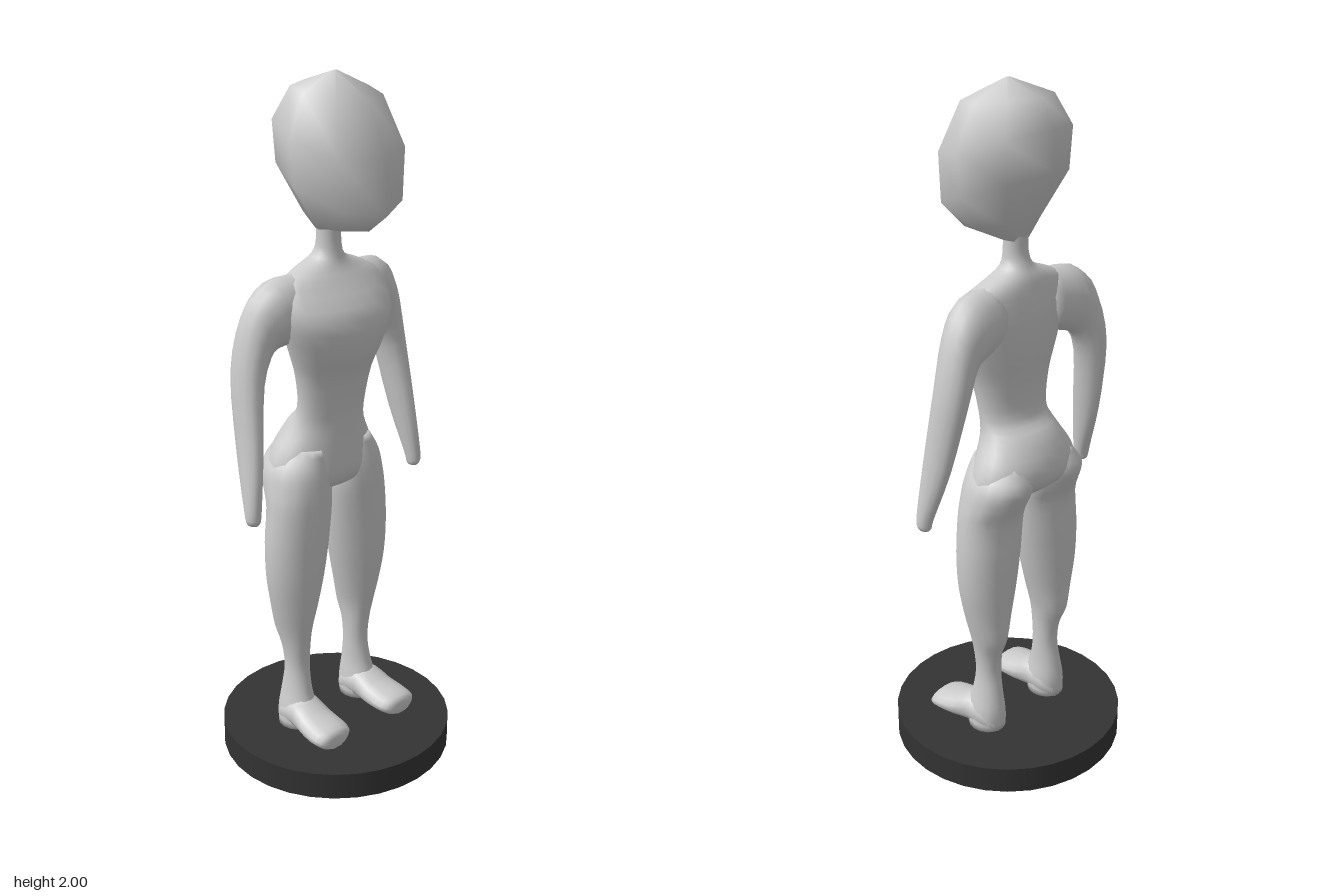
import * as THREE from 'three';

// Loft through elliptical rings [a, b, h]: a and b are opposite points of a ring,
// h is the half-width along the given axis ('x' or 'z'). steps > 1 smooths between rings.
function loft(rings, axis, sides, steps, mirror = 1) {
  const vec = (p) => new THREE.Vector3(p[0], p[1], p[2] * mirror);
  const curves = [
    new THREE.CatmullRomCurve3(rings.map((r) => vec(r[0]))),
    new THREE.CatmullRomCurve3(rings.map((r) => vec(r[1]))),
    new THREE.CatmullRomCurve3(rings.map((r, i) => new THREE.Vector3(r[2], i, 0))),
  ];
  curves.forEach((c) => { c.curveType = 'catmullrom'; c.tension = 0.5; });
  const rows = (rings.length - 1) * steps;
  const points = [];
  const centres = [];
  for (let i = 0; i <= rows; i++) {
    const [a, b, h] = curves.map((c) => c.getPoint(i / rows));
    const centre = a.clone().add(b).multiplyScalar(0.5);
    const u = a.clone().sub(b).multiplyScalar(0.5);
    const v = axis === 'x' ? new THREE.Vector3(h.x, 0, 0) : new THREE.Vector3(0, 0, h.x);
    centres.push(centre);
    for (let j = 0; j < sides; j++) {
      const t = (j / sides) * Math.PI * 2;
      points.push(centre.clone().addScaledVector(u, Math.cos(t)).addScaledVector(v, Math.sin(t)));
    }
  }
  const first = points.push(centres[0]) - 1;
  const last = points.push(centres[rows]) - 1;
  const index = [];
  for (let j = 0; j < sides; j++) {
    const k = (j + 1) % sides;
    for (let i = 0; i < rows; i++) {
      const p = i * sides + j, q = i * sides + k;
      index.push(p, q, p + sides, q, q + sides, p + sides);
    }
    index.push(first, k, j, last, rows * sides + j, rows * sides + k);
  }
  // Turn all faces outward if the enclosed volume is negative
  let volume = 0;
  for (let i = 0; i < index.length; i += 3) {
    const [a, b, c] = [points[index[i]], points[index[i + 1]], points[index[i + 2]]];
    volume += a.dot(b.clone().cross(c));
  }
  if (volume < 0) index.reverse();
  const geometry = new THREE.BufferGeometry().setFromPoints(points);
  geometry.setIndex(index);
  geometry.computeVertexNormals();
  return geometry;
}

// Ring given by front x, front y, back x, back y, half depth
const section = ([fx, fy, bx, by, h]) => [[fx, fy, 0], [bx, by, 0], h];

export function createModel() {
  const group = new THREE.Group();
  const skin = new THREE.MeshStandardMaterial({ color: 0xcccccc });
  skin.name = 'pale grey';
  const dark = new THREE.MeshStandardMaterial({ color: 0x333333 });
  dark.name = 'dark grey';
  const add = (name, geometry, material = skin) => {
    const mesh = new THREE.Mesh(geometry, material);
    mesh.name = name;
    group.add(mesh);
    return mesh;
  };

  // Round display base
  add('base', new THREE.CylinderGeometry(0.343, 0.343, 0.08, 32), dark).position.y = 0.04;

  // Large faceted head, chin pushed forward
  add('head', loft([
    [0.005, 1.999, -0.005, 2.0, 0.005],
    [0.125, 1.935, -0.12, 1.965, 0.12],
    [0.185, 1.79, -0.165, 1.89, 0.175],
    [0.19, 1.645, -0.165, 1.78, 0.16],
    [0.125, 1.595, -0.085, 1.64, 0.1],
    [0.01, 1.585, -0.06, 1.58, 0.04],
  ].map(section), 'z', 8, 1));

  // Neck, chest, waist and hips
  add('torso', loft([
    [0.005, 1.62, -0.065, 1.62, 0.036],
    [0.005, 1.55, -0.062, 1.55, 0.036],
    [0.012, 1.505, -0.075, 1.51, 0.05],
    [0.025, 1.475, -0.09, 1.48, 0.12],
    [0.05, 1.44, -0.1, 1.44, 0.18],
    [0.11, 1.35, -0.11, 1.37, 0.19],
    [0.1, 1.25, -0.105, 1.27, 0.155],
    [0.07, 1.18, -0.09, 1.18, 0.128],
    [0.05, 1.08, -0.09, 1.08, 0.114],
    [0.046, 1.02, -0.135, 1.03, 0.127],
    [0.045, 0.95, -0.168, 0.96, 0.168],
    [0.045, 0.89, -0.165, 0.9, 0.185],
    [0.03, 0.85, -0.11, 0.85, 0.16],
    [0.0, 0.83, -0.06, 0.83, 0.06],
  ].map(section), 'z', 20, 3));

  for (const [side, mirror] of [['left', -1], ['right', 1]]) {
    // Arm: outer point, inner point, half thickness along x
    add(side + 'Arm', loft([
      [[-0.035, 1.475, 0.09], [-0.035, 1.3, 0.09], 0.06],
      [[-0.045, 1.465, 0.2], [-0.045, 1.28, 0.16], 0.068],
      [[-0.057, 1.39, 0.27], [-0.057, 1.262, 0.198], 0.058],
      [[-0.06, 1.23, 0.31], [-0.06, 1.18, 0.235], 0.055],
      [[-0.028, 1.02, 0.325], [-0.028, 0.99, 0.27], 0.047],
      [[0.003, 0.85, 0.34], [0.003, 0.845, 0.295], 0.026],
      [[0.005, 0.815, 0.336], [0.005, 0.813, 0.302], 0.02],
      [[0.005, 0.806, 0.326], [0.005, 0.806, 0.312], 0.008],
    ], 'x', 14, 3, mirror));

    // Leg: height, front x, back x, outer z, inner z
    add(side + 'Leg', loft([
      [0.97, 0.03, -0.14, 0.145, 0.03],
      [0.91, 0.043, -0.17, 0.187, 0.008],
      [0.85, 0.045, -0.148, 0.203, 0.003],
      [0.79, 0.044, -0.122, 0.212, 0.004],
      [0.68, 0.043, -0.122, 0.22, 0.016],
      [0.57, 0.038, -0.12, 0.214, 0.036],
      [0.47, 0.026, -0.114, 0.194, 0.06],
      [0.4, 0.014, -0.11, 0.176, 0.077],
      [0.34, 0.004, -0.087, 0.163, 0.084],
      [0.27, 0.0, -0.08, 0.157, 0.086],
      [0.2, 0.012, -0.09, 0.165, 0.084],
      [0.14, 0.03, -0.098, 0.178, 0.075],
      [0.083, 0.02, -0.095, 0.18, 0.075],
    ].map(([y, f, b, o, i]) => {
      const z = (o + i) / 2;
      return [[f, y, z], [b, y, z], (o - i) / 2];
    }), 'z', 16, 3, mirror));

    // Foot: x, top height, middle z, half width
    add(side + 'Foot', loft([
      [-0.092, 0.12, 0.126, 0.025],
      [-0.06, 0.17, 0.126, 0.052],
      [0.0, 0.185, 0.128, 0.056],
      [0.05, 0.158, 0.131, 0.064],
      [0.1, 0.143, 0.134, 0.068],
      [0.138, 0.132, 0.136, 0.06],
      [0.149, 0.115, 0.137, 0.035],
    ].map(([x, top, z, h]) => [[x, top, z], [x, 0.078, z], h]), 'z', 14, 2, mirror));
  }
  return group;
}
